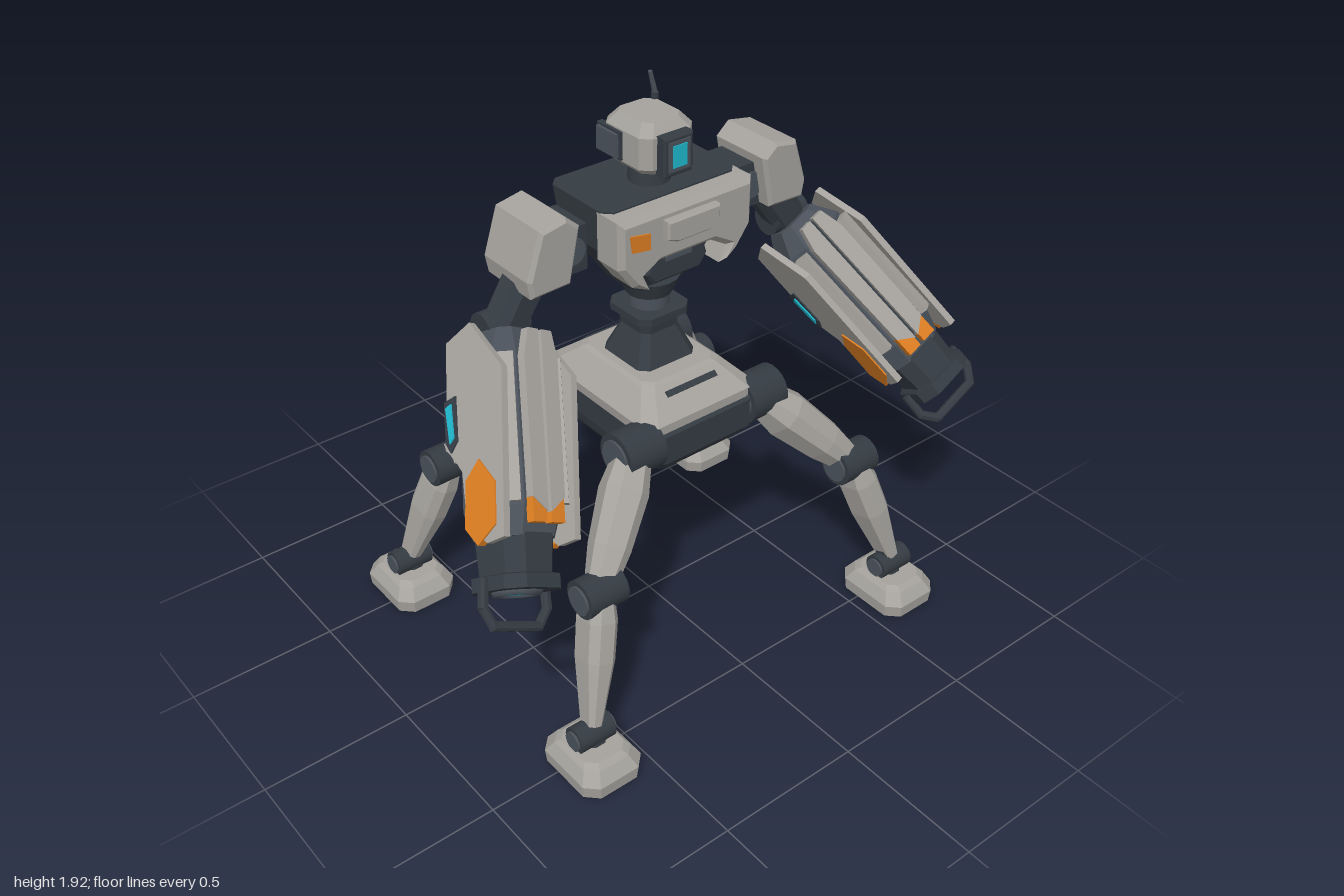
import * as THREE from 'three';

const mat = (name, color) => Object.assign(new THREE.MeshStandardMaterial({ color }), { name });
const grey = mat('armourGrey', 0xa5a29d);
const dark = mat('frameDark', 0x343b42);
const slate = mat('jointSlate', 0x4a515a);
const orange = mat('markingOrange', 0xdc7d22);
const cyan = mat('lightCyan', 0x1fb6ca);

const V = (x, y, z) => new THREE.Vector3(x, y, z);

function add(parent, name, geometry, material, pos = [0, 0, 0]) {
  const m = new THREE.Mesh(geometry, material);
  m.name = name;
  m.position.set(...pos);
  parent.add(m);
  return m;
}

// Chamfered rectangular cross-sections [y, halfX, halfZ, chamfer, offsetZ] joined upward
function stack(sections) {
  const rings = sections.map(([y, a, b, c, o = 0]) => [
    [a, b - c], [a, c - b], [a - c, -b], [c - a, -b], [-a, c - b], [-a, b - c], [c - a, b], [a - c, b],
  ].map(([x, z]) => V(x, y, z + o)));
  const tris = [];
  for (let r = 0; r < rings.length - 1; r++) {
    for (let i = 0; i < 8; i++) {
      const j = (i + 1) % 8, lo = rings[r], hi = rings[r + 1];
      tris.push(lo[i], lo[j], hi[j], lo[i], hi[j], hi[i]);
    }
  }
  const top = rings[rings.length - 1], bottom = rings[0];
  for (let i = 1; i < 7; i++) {
    tris.push(top[0], top[i], top[i + 1], bottom[0], bottom[i + 1], bottom[i]);
  }
  const g = new THREE.BufferGeometry().setFromPoints(tris);
  g.computeVertexNormals();
  return g;
}

// Tapered limb from a to b; sections are [fraction, halfX, halfZ]
function limb(parent, name, a, b, sections, material) {
  const dir = b.clone().sub(a), len = dir.length();
  const m = add(parent, name, stack(sections.map(([t, x, z]) => [t * len, x, z, Math.min(x, z) * 0.5])), material, a.toArray());
  m.quaternion.setFromUnitVectors(V(0, 1, 0), dir.normalize());
}

// Flat outline extruded along z, centred on its thickness
function plate(points, depth, bevel = 0) {
  const shape = new THREE.Shape(points.map((p) => new THREE.Vector2(...p)));
  const g = new THREE.ExtrudeGeometry(shape, {
    depth: depth - 2 * bevel, bevelEnabled: bevel > 0, bevelThickness: bevel,
    bevelSize: bevel, bevelOffset: -bevel, bevelSegments: 1,
  });
  return g.translate(0, 0, bevel - depth / 2);
}

const box = (x, y, z) => new THREE.BoxGeometry(x, y, z);
const cylX = (r, len) => new THREE.CylinderGeometry(r, r, len, 20).rotateZ(Math.PI / 2);
const cylZ = (r, len, n = 20) => new THREE.CylinderGeometry(r, r, len, n).rotateX(Math.PI / 2);

function buildLeg(sx, sz) {
  const g = new THREE.Group();
  g.name = 'leg';
  const P = (x, y, z) => V(x * sx, y, z * sz);
  const hip = P(0.25, 0.85, 0.24), knee = P(0.53, 0.555, 0.42), ankle = P(0.65, 0.13, 0.53);
  [['hipJoint', hip, 0.08, 0.14], ['kneeJoint', knee, 0.064, 0.14], ['ankleJoint', ankle, 0.044, 0.13]].forEach(([n, p, r, len]) => {
    add(g, n, cylX(r, len), dark, p.toArray());
    add(g, n + 'Cap', cylX(r * 0.75, len + 0.016), slate, p.toArray());
  });
  limb(g, 'thigh', hip, knee, [[0.05, 0.055, 0.055], [0.3, 0.077, 0.07], [0.7, 0.066, 0.06], [0.95, 0.045, 0.045]], grey);
  limb(g, 'shin', knee, P(0.645, 0.16, 0.525), [[0.06, 0.055, 0.04], [0.2, 0.065, 0.05], [0.5, 0.064, 0.048], [1, 0.038, 0.024]], grey);
  limb(g, 'ankleStrut', P(0.635, 0.19, 0.52), P(0.65, 0.06, 0.535), [[0, 0.03, 0.025], [1, 0.045, 0.04]], dark);
  add(g, 'foot', stack([[0, 0.108, 0.134, 0.04], [0.045, 0.112, 0.138, 0.04], [0.085, 0.09, 0.11, 0.035], [0.1, 0.075, 0.09, 0.03]]), grey, [0.65 * sx, 0, 0.535 * sz]);
  return g;
}

// Forearm frame: local z runs down the barrel, local y faces forward, o points outward
function buildForearm(o) {
  const g = new THREE.Group();
  g.name = 'armCannon';
  const rot = (geo) => geo.rotateX(Math.PI / 2);
  add(g, 'cannonHull', rot(stack([[-0.66, 0.07, 0.08, 0.03], [-0.58, 0.115, 0.12, 0.05], [-0.14, 0.118, 0.125, 0.05], [-0.06, 0.1, 0.1, 0.04]])), slate);
  add(g, 'barrel', rot(stack([[-0.1, 0.098, 0.105, 0.045], [0.04, 0.088, 0.095, 0.04], [0.045, 0.108, 0.112, 0.045], [0.085, 0.108, 0.112, 0.045]])), dark);
  add(g, 'muzzleRing', new THREE.TorusGeometry(0.06, 0.015, 6, 16), slate, [0, 0, 0.085]);
  add(g, 'muzzleLight', cylZ(0.045, 0.008, 16), cyan, [0, 0, 0.088]);

  // Muzzle guard bar
  const bar = [[0.115, 0.05], [0.12, 0.13], [0.085, 0.18], [-0.085, 0.18], [-0.12, 0.13], [-0.115, 0.05]].map(([x, z]) => V(x, -0.01, z));
  for (let i = 0; i < 5; i++) limb(g, 'muzzleGuard', bar[i], bar[i + 1], [[-0.03, 0.014, 0.014], [1.03, 0.014, 0.014]], dark);

  // Side armour, orange tip and light on both flanks
  const outline = [[-0.05, 0.12], [-0.52, 0.145], [-0.67, 0.02], [-0.63, -0.085], [-0.33, -0.1], [-0.25, -0.04], [-0.1, -0.03], [-0.04, 0.05]];
  const tip = [[-0.275, 0.036], [-0.205, 0.098], [-0.087, 0.092], [-0.037, 0.016], [-0.089, -0.034], [-0.223, -0.022]];
  const recess = [[-0.47, -0.05], [-0.34, -0.05], [-0.31, -0.08], [-0.34, -0.1], [-0.46, -0.1]];
  const light = [[-0.45, -0.066], [-0.35, -0.06], [-0.335, -0.078], [-0.44, -0.09]];
  for (const s of [-1, 1]) {
    const side = (name, pts, depth, material, x) => add(g, name, plate(pts, depth).rotateY(-Math.PI / 2), material, [s * o * x, 0, 0]);
    side('sideArmour', outline, 0.022, grey, 0.134);
    side('sideOrangeTip', tip, 0.026, orange, 0.137);
    side('lightRecess', recess, 0.006, dark, 0.147);
    side('sideLight', light, 0.006, cyan, 0.152);
  }

  // Front armour strips with orange ends
  for (const s of [-1, 1]) {
    add(g, 'frontStrip', plate([[0.006, -0.64], [0.045, -0.64], [0.064, -0.56], [0.06, -0.16], [0.006, -0.12]].map(([x, z]) => [s * x, -z]), 0.028).rotateX(-Math.PI / 2), grey, [0, 0.14, 0]);
    add(g, 'frontOrangeEnd', box(0.05, 0.028, 0.07), orange, [s * 0.034, 0.136, -0.125]);
    const flank = add(g, 'flankStrip', box(0.045, 0.025, 0.42), grey, [s * 0.098, 0.112, -0.36]);
    flank.rotation.z = -s * Math.PI / 4;
  }
  add(g, 'frontGroove', box(0.012, 0.02, 0.5), dark, [0, 0.13, -0.38]);

  const out = V(0.873 * o, 0.487, 0), front = V(-0.293 * o, 0.526, 0.797), down = V(0.388 * o, -0.696, 0.602);
  g.quaternion.setFromRotationMatrix(new THREE.Matrix4().makeBasis(out.multiplyScalar(o), front, down));
  g.position.set(0.824 * o, 0.832, 0.43);
  return g;
}

function buildArm(s) {
  const g = new THREE.Group();
  g.name = s > 0 ? 'leftArm' : 'rightArm';
  const pad = [[0.487, 1.635], [0.396, 1.652], [0.348, 1.61], [0.385, 1.433], [0.524, 1.428], [0.535, 1.487]];
  add(g, 'shoulderPad', plate(pad.map(([x, y]) => [x * s, y]), 0.236, 0.012), grey, [0, 0, 0.012]);
  add(g, 'shoulderBlock', box(0.11, 0.15, 0.15), dark, [0.345 * s, 1.505, 0]);
  add(g, 'shoulderPivot', cylZ(0.045, 0.165), slate, [0.345 * s, 1.505, 0]);
  limb(g, 'upperArm', V(0.45 * s, 1.46, 0.01), V(0.56 * s, 1.3, 0.015), [[0, 0.065, 0.055], [1, 0.06, 0.055]], dark);
  add(g, 'elbowJoint', cylX(0.055, 0.14), dark, [0.555 * s, 1.31, 0.005]);
  g.add(buildForearm(s));
  return g;
}

function buildHead() {
  const g = new THREE.Group();
  g.name = 'head';
  add(g, 'neck', new THREE.CylinderGeometry(0.06, 0.068, 0.08, 16), dark, [0, 1.635, 0]);
  add(g, 'headShell', stack([[1.665, 0.075, 0.085, 0.025], [1.69, 0.1, 0.107, 0.03], [1.79, 0.1, 0.107, 0.03], [1.825, 0.07, 0.08, 0.025]]), grey);
  add(g, 'visorFrame', plate([[-0.055, 1.67], [0.055, 1.67], [0.055, 1.795], [-0.055, 1.795]], 0.045, 0.006), dark, [0, 0, 0.118]);
  add(g, 'visorSurround', box(0.08, 0.095, 0.006), slate, [0, 1.734, 0.141]);
  add(g, 'eye', box(0.052, 0.07, 0.008), cyan, [0, 1.734, 0.143]);
  for (const s of [-1, 1]) {
    add(g, 'earPanel', box(0.03, 0.075, 0.095), slate, [s * 0.105, 1.74, -0.053]);
    add(g, 'earFrame', box(0.02, 0.09, 0.11), dark, [s * 0.1, 1.74, -0.053]);
  }
  add(g, 'antennaBase', new THREE.CylinderGeometry(0.012, 0.012, 0.03, 8), dark, [0.07, 1.83, -0.06]);
  limb(g, 'antenna', V(0.074, 1.83, -0.06), V(0.052, 1.915, -0.06), [[0, 0.008, 0.008], [1, 0.006, 0.006]], slate);
  return g;
}

function buildTorso() {
  const g = new THREE.Group();
  g.name = 'torso';
  add(g, 'chestFrame', stack([[1.27, 0.1, 0.09, 0.03], [1.36, 0.155, 0.13, 0.04], [1.46, 0.235, 0.145, 0.04], [1.61, 0.255, 0.145, 0.03]]), dark, [0, 0, -0.025]);
  const half = [[0.255, 1.605], [0.255, 1.45], [0.2, 1.375], [0.135, 1.345], [0.16, 1.4], [0.1, 1.435]];
  const chest = [...half, ...half.map(([x, y]) => [-x, y]).reverse()];
  add(g, 'chestArmour', plate(chest, 0.13, 0.018), grey, [0, 0, 0.125]);
  add(g, 'chestPanel', plate([[-0.1, 1.575], [-0.1, 1.515], [-0.06, 1.5], [0.06, 1.5], [0.1, 1.515], [0.1, 1.575]], 0.035, 0.006), grey, [0, 0, 0.2]);
  add(g, 'chestMarking', plate([[-0.222, 1.56], [-0.215, 1.505], [-0.148, 1.495], [-0.15, 1.548]], 0.008), orange, [0, 0, 0.192]);
  add(g, 'bellyPlate', plate([[-0.1, 1.435], [-0.12, 1.37], [-0.09, 1.33], [0.09, 1.33], [0.12, 1.37], [0.1, 1.435]], 0.08, 0.01), dark, [0, 0, 0.1]);
  add(g, 'bellyVent', box(0.1, 0.03, 0.008), slate, [0, 1.415, 0.142]);
  add(g, 'backPlate', plate([[-0.12, 1.36], [0.12, 1.36], [0.13, 1.54], [-0.13, 1.54]], 0.03, 0.006), grey, [0, 0, -0.175]);
  add(g, 'backHatch', box(0.11, 0.085, 0.008), dark, [0, 1.455, -0.19]);
  return g;
}

function buildPelvis() {
  const g = new THREE.Group();
  g.name = 'pelvis';
  add(g, 'pelvisHull', stack([[0.69, 0.155, 0.2, 0.04], [0.75, 0.2, 0.27, 0.05], [0.79, 0.21, 0.3, 0.04], [0.89, 0.21, 0.3, 0.04]]), dark);
  add(g, 'deckCover', stack([[0.885, 0.22, 0.28, 0.04], [0.92, 0.225, 0.28, 0.04], [0.995, 0.155, 0.185, 0.03], [1.005, 0.14, 0.17, 0.03]]), grey);
  for (const s of [-1, 1]) {
    const slot = add(g, 'deckSlot', box(0.2, 0.008, 0.02), dark, [0, 0.975, s * 0.212]);
    slot.rotation.x = s * 0.67;
  }
  // Waist column
  add(g, 'waistCone', stack([[0.99, 0.12, 0.12, 0.03], [1.12, 0.065, 0.065, 0.02]]), dark);
  add(g, 'waistCollar', stack([[1.11, 0.075, 0.075, 0.025], [1.15, 0.08, 0.08, 0.025], [1.155, 0.1, 0.1, 0.03], [1.18, 0.1, 0.1, 0.03]]), dark);
  add(g, 'waistPivot', new THREE.CylinderGeometry(0.065, 0.065, 0.07, 16), slate, [0, 1.205, 0]);
  add(g, 'waistSocket', new THREE.CylinderGeometry(0.1, 0.075, 0.06, 16), dark, [0, 1.255, 0]);
  return g;
}

export function createModel() {
  const model = new THREE.Group();
  model.name = 'fourLeggedRobot';
  model.add(buildPelvis(), buildTorso(), buildHead());
  for (const s of [-1, 1]) {
    model.add(buildArm(s), buildLeg(s, 1), buildLeg(s, -1));
  }
  return model;
}
